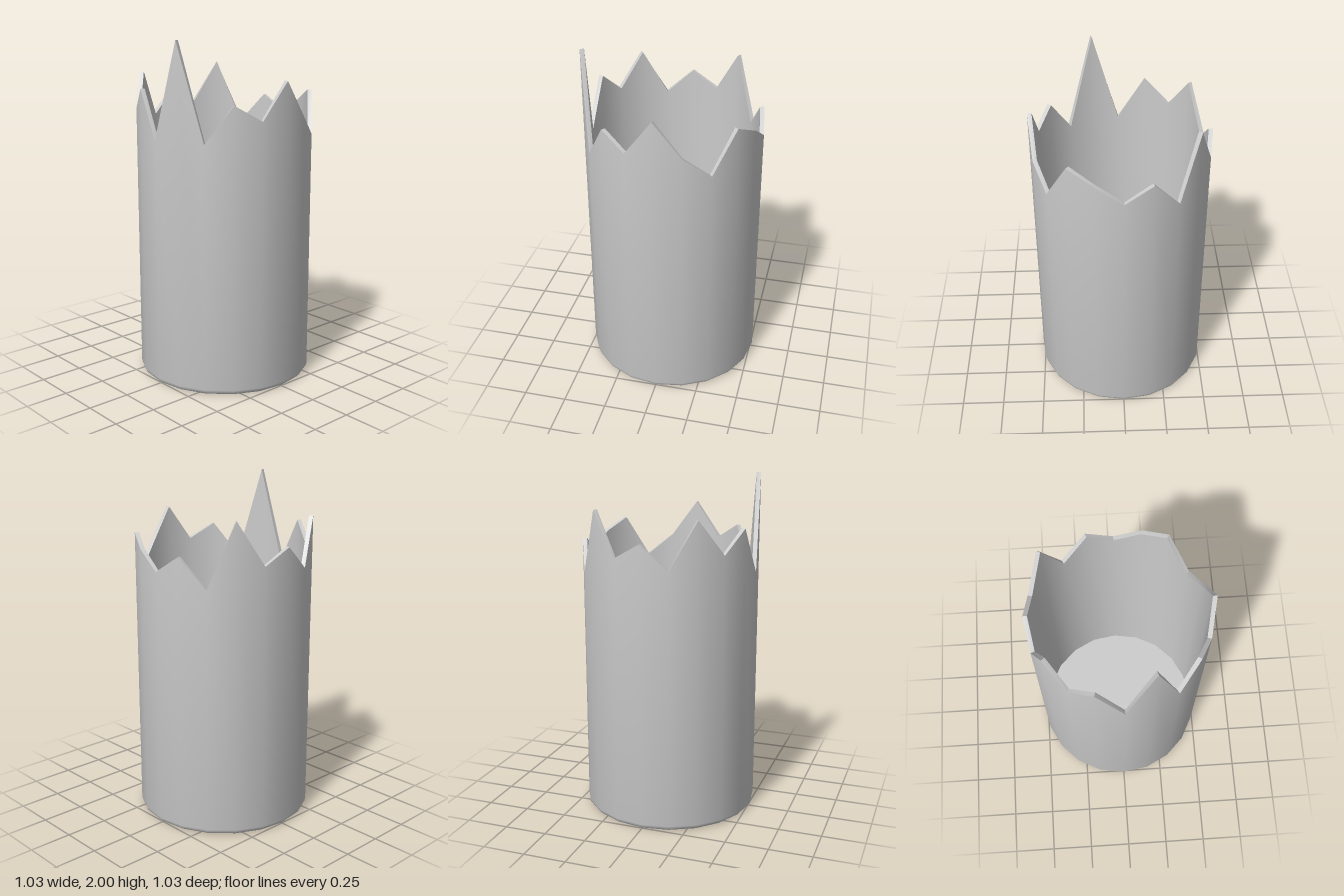
import * as THREE from 'three';
import { toCreasedNormals } from 'three/addons/utils/BufferGeometryUtils.js';

const SIDES = 20;
const OUTER = 0.515, INNER = 0.49, FLOOR = 0.025, BEVEL = 0.03;

// Height of the jagged rim at each corner, going round from the front towards +x
const RIM = [
  1.45, 2.0, 1.45, 1.66, 1.57, 1.78, 1.57, 1.45, 1.69, 1.62,
  1.52, 1.62, 1.45, 1.82, 1.57, 1.66, 1.52, 1.79, 1.59, 1.72,
];

export function createModel() {
  const group = new THREE.Group();
  group.name = 'brokenCup';

  // Profile: underside, rounded bottom edge, outer wall, rim, inner wall, floor
  const profile = [new THREE.Vector2(0, 0)];
  for (let i = 0; i <= 3; i++) {
    const a = (i / 3) * Math.PI / 2;
    profile.push(new THREE.Vector2(
      OUTER - BEVEL + BEVEL * Math.sin(a), BEVEL - BEVEL * Math.cos(a)));
  }
  const rimRow = profile.length;
  profile.push(
    new THREE.Vector2(OUTER, 1.5),
    new THREE.Vector2(INNER, 1.5),
    new THREE.Vector2(INNER, FLOOR),
    new THREE.Vector2(0, FLOOR));

  // Raise the outer and inner rim corners to the jagged heights
  const geometry = new THREE.LatheGeometry(profile, SIDES);
  const position = geometry.attributes.position;
  for (let s = 0; s <= SIDES; s++) {
    for (const row of [rimRow, rimRow + 1]) {
      position.setY(s * profile.length + row, RIM[s % SIDES]);
    }
  }

  const shell = new THREE.Mesh(
    toCreasedNormals(geometry, 0.65),
    new THREE.MeshStandardMaterial({ color: 0xcccccc }));
  shell.name = 'jaggedShell';
  group.add(shell);
  return group;
}
